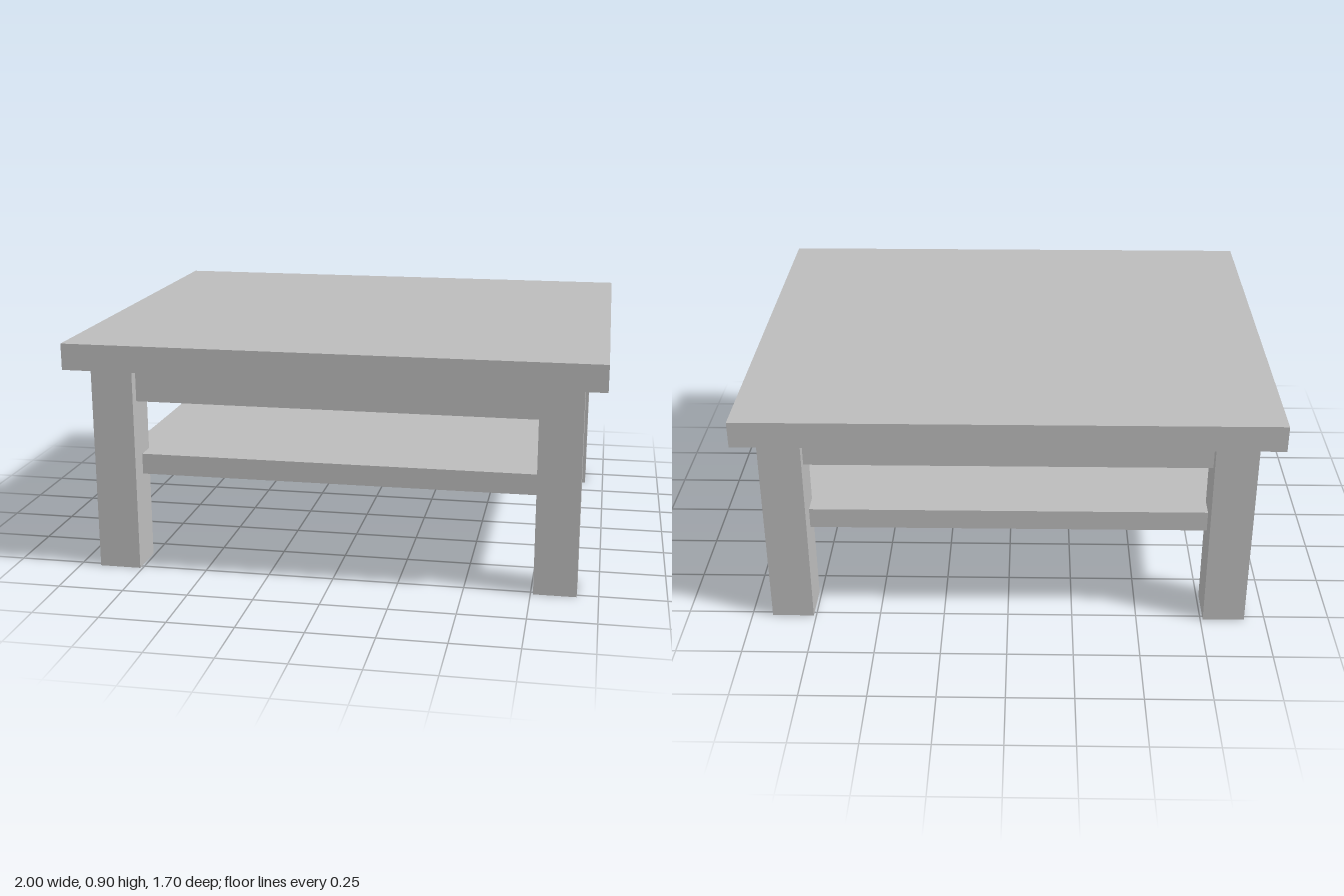
import * as THREE from 'three';

export function createModel() {
  const model = new THREE.Group();
  model.name = 'coffeeTable';
  const grey = new THREE.MeshStandardMaterial({ color: 0xbbbbbb });
  grey.name = 'plain grey';

  // Box given by its size, bottom height and centre on the floor plan
  function slab(name, w, h, d, bottom, x = 0, z = 0) {
    const mesh = new THREE.Mesh(new THREE.BoxGeometry(w, h, d), grey);
    mesh.name = name;
    mesh.position.set(x, bottom + h / 2, z);
    model.add(mesh);
  }

  slab('tableTop', 2, 0.1, 1.7, 0.8);
  // Solid frame under the top, set back from the leg faces
  slab('apron', 1.77, 0.14, 1.46, 0.66);
  // Lower shelf reaching the leg centres
  slab('shelf', 1.68, 0.08, 1.38, 0.36);

  // Four square legs
  for (const x of [-1, 1]) {
    for (const z of [-1, 1]) {
      slab(`${z > 0 ? 'front' : 'back'}${x > 0 ? 'Left' : 'Right'}Leg`, 0.16, 0.8, 0.16, 0, x * 0.84, z * 0.69);
    }
  }
  return model;
}
